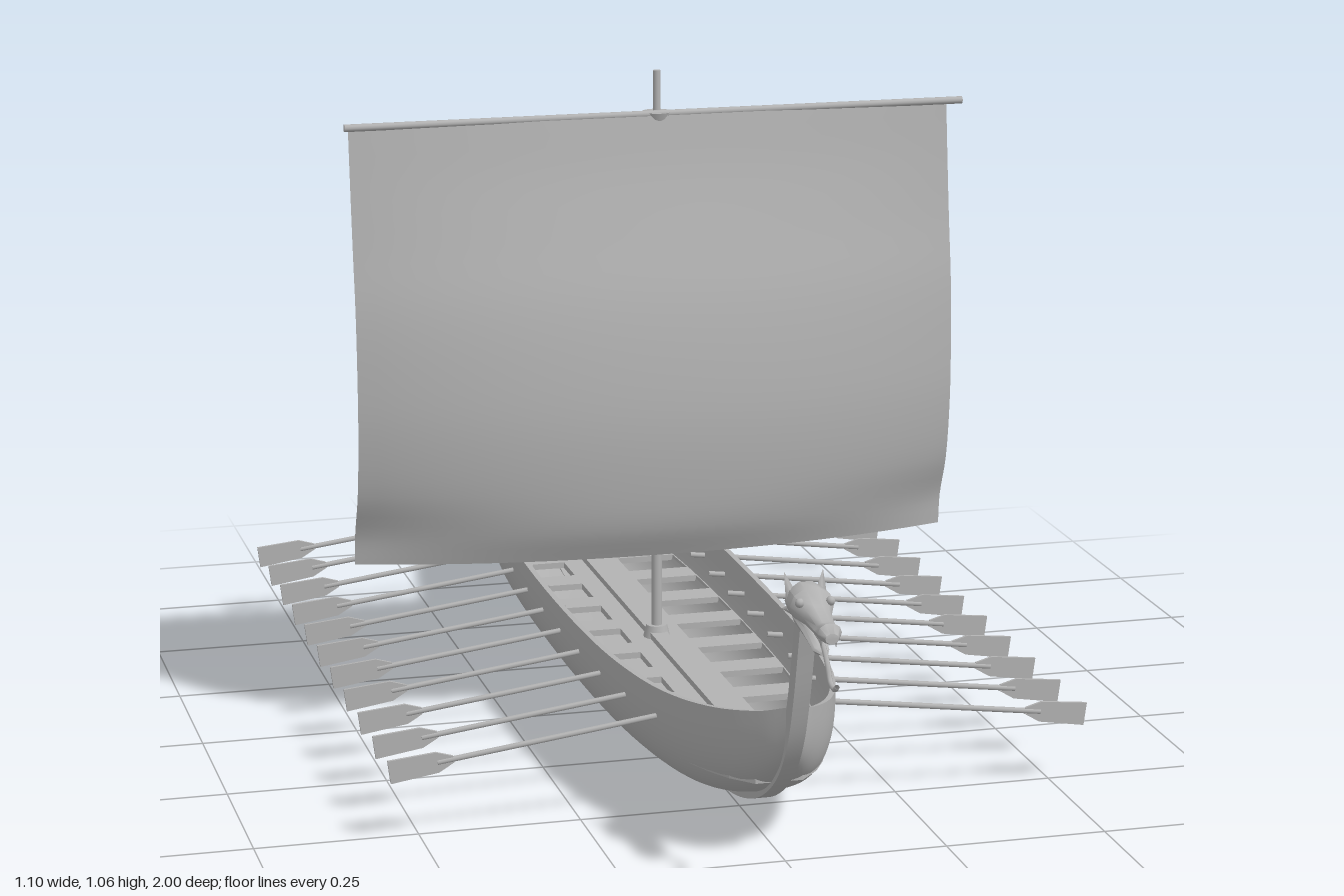
import * as THREE from 'three';
import { toCreasedNormals } from 'three/addons/utils/BufferGeometryUtils.js';

const grey = new THREE.MeshStandardMaterial({ color: 0xb2b2b2, side: THREE.DoubleSide });
grey.name = 'weathered grey';

function add(parent, name, geometry, x = 0, y = 0, z = 0) {
  const m = new THREE.Mesh(geometry, grey);
  m.name = name;
  m.position.set(x, y, z);
  parent.add(m);
  return m;
}

// Smooth surface from fn(u, v) -> [x, y, z]
function grid(nu, nv, fn) {
  const pos = [], index = [];
  for (let i = 0; i <= nu; i++) for (let j = 0; j <= nv; j++) pos.push(...fn(i / nu, j / nv));
  for (let i = 0; i < nu; i++) for (let j = 0; j < nv; j++) {
    const a = i * (nv + 1) + j, b = a + nv + 1;
    index.push(a, b, a + 1, b, b + 1, a + 1);
  }
  const g = new THREE.BufferGeometry();
  g.setAttribute('position', new THREE.Float32BufferAttribute(pos, 3));
  g.setIndex(index);
  g.computeVertexNormals();
  return g;
}

// Hull stations: z, half width, sheer height, bottom height
const stations = [
  [0.79, 0.012, 0.25, 0.19], [0.75, 0.045, 0.235, 0.14], [0.68, 0.09, 0.222, 0.088],
  [0.58, 0.127, 0.212, 0.053], [0.45, 0.153, 0.206, 0.037], [0.25, 0.171, 0.202, 0.03],
  [-0.05, 0.177, 0.2, 0.028], [-0.35, 0.172, 0.202, 0.03], [-0.55, 0.158, 0.205, 0.037],
  [-0.7, 0.134, 0.212, 0.055], [-0.82, 0.095, 0.225, 0.09], [-0.9, 0.055, 0.238, 0.135],
  [-0.955, 0.012, 0.25, 0.205],
];
const curveOf = (col) => new THREE.CatmullRomCurve3(
  stations.map((s) => new THREE.Vector3(s[col], s[col + 1] ?? 0, s[0])), false, 'catmullrom', 0.5);
const widthSheer = curveOf(1), bottomLine = curveOf(3);
const N = 2.8;

function station(t) {
  const p = widthSheer.getPoint(t);
  return { z: p.z, w: p.x, s: p.y, b: bottomLine.getPoint(t).x };
}
function stationAt(z) {
  let lo = 0, hi = 1;
  for (let i = 0; i < 30; i++) {
    const mid = (lo + hi) / 2;
    if (station(mid).z > z) lo = mid; else hi = mid;
  }
  return station(lo);
}
// Half width of the hull at a given height
function halfWidth(z, y) {
  const { w, s, b } = stationAt(z);
  const k = Math.min(1, (s - y) / (s - b));
  return Math.max(0.004, w * Math.pow(1 - Math.pow(k, N), 1 / N) - 0.004);
}
function hullSkin(inset) {
  return grid(60, 32, (u, v) => {
    const { z, w, s, b } = station(u);
    const a = (v - 0.5) * Math.PI, sn = Math.sin(a);
    const x = Math.sign(sn) * Math.pow(Math.abs(sn), 2 / N) * Math.max(0.002, w - inset);
    return [x, s - (s - b - inset) * Math.pow(Math.max(0, Math.cos(a)), 2 / N), z];
  });
}

// Deck plate following the hull sides, with optional holes
function deck(z0, z1, y, thick, holes = []) {
  const left = [], right = [];
  for (let i = 0; i <= 40; i++) {
    const z = z0 + (z1 - z0) * i / 40, w = halfWidth(z, y);
    left.push(new THREE.Vector2(w, z));
    right.unshift(new THREE.Vector2(-w, z));
  }
  const shape = new THREE.Shape([...left, ...right]);
  shape.holes = holes.map((h) => new THREE.Path(h.map((p) => new THREE.Vector2(...p))));
  return new THREE.ExtrudeGeometry(shape, { depth: thick, bevelEnabled: false })
    .rotateX(Math.PI / 2).translate(0, y, 0);
}

// Tapered loft along z with sections: z, centre y, half width, half height
function loft(sections) {
  const n = sections.length - 1;
  const rows = [[sections[0][0], sections[0][1], 0, 0], ...sections, [sections[n][0], sections[n][1], 0, 0]];
  const g = grid(rows.length - 1, 10, (u, v) => {
    const [z, y, w, h] = rows[Math.round(u * (rows.length - 1))];
    return [Math.cos(v * 2 * Math.PI) * w, y + Math.sin(v * 2 * Math.PI) * h, z];
  });
  return toCreasedNormals(g, 0.8);
}

// Flat timber following a (z, y) centreline
function timber(points, half, thick) {
  const c = new THREE.CatmullRomCurve3(points.map(([z, y]) => new THREE.Vector3(z, y, 0)));
  const a = [], b = [];
  for (let i = 0; i <= 90; i++) {
    const p = c.getPoint(i / 90), t = c.getTangent(i / 90);
    a.push(new THREE.Vector2(p.x - t.y * half, p.y + t.x * half));
    b.unshift(new THREE.Vector2(p.x + t.y * half, p.y - t.x * half));
  }
  const g = new THREE.ExtrudeGeometry(new THREE.Shape([...a, ...b]), { depth: thick, bevelEnabled: false });
  return toCreasedNormals(g.translate(0, 0, -thick / 2).rotateY(-Math.PI / 2), 0.5);
}

function makeOar() {
  const oar = new THREE.Group();
  add(oar, 'oarShaft', new THREE.CylinderGeometry(0.0045, 0.0045, 0.34, 8).rotateZ(Math.PI / 2), 0.17);
  const blade = new THREE.Shape([[0.315, -0.005], [0.34, -0.016], [0.414, -0.018], [0.414, 0.018], [0.34, 0.016], [0.315, 0.005]]
    .map((p) => new THREE.Vector2(...p)));
  add(oar, 'oarBlade', new THREE.ExtrudeGeometry(blade, { depth: 0.005, bevelEnabled: false }), 0, 0, -0.0025);
  return oar;
}

function makeHead() {
  const head = new THREE.Group();
  head.name = 'figurehead';
  add(head, 'skull', loft([[0.818, 0.425, 0.014, 0.016], [0.84, 0.428, 0.031, 0.028], [0.872, 0.428, 0.033, 0.027],
    [0.9, 0.419, 0.021, 0.018], [0.94, 0.412, 0.017, 0.012], [0.96, 0.413, 0.018, 0.015], [0.972, 0.408, 0.01, 0.008]]));
  add(head, 'lowerJaw', loft([[0.84, 0.405, 0.02, 0.018], [0.88, 0.392, 0.016, 0.011], [0.92, 0.376, 0.012, 0.006], [0.935, 0.375, 0.006, 0.004]]));
  const path = new THREE.CatmullRomCurve3([[0.88, 0.395], [0.925, 0.388], [0.95, 0.365], [0.965, 0.343], [0.985, 0.338], [0.997, 0.345]]
    .map(([z, y]) => new THREE.Vector3(0, y, z)));
  add(head, 'tongue', new THREE.TubeGeometry(path, 20, 0.004, 6));
  for (const s of [-1, 1]) {
    const ear = add(head, 'ear', new THREE.ConeGeometry(0.011, 0.042, 5), s * 0.025, 0.449, 0.836);
    ear.rotation.set(-0.35, 0, -s * 0.2);
    const cheek = add(head, 'cheekFin', new THREE.ConeGeometry(0.009, 0.03, 4), s * 0.024, 0.412, 0.828);
    cheek.rotation.set(-1.8, 0, -s * 0.3);
    add(head, 'eye', new THREE.SphereGeometry(0.007, 8, 6), s * 0.023, 0.438, 0.888);
    add(head, 'fang', new THREE.ConeGeometry(0.003, 0.014, 5).rotateX(Math.PI), s * 0.011, 0.396, 0.955);
  }
  return head;
}

// Sail profile from top to bottom: height, edge z, middle z
const sailRows = [[0.985, 0.012, 0.018], [0.9, 0.022, 0.035], [0.8, 0.035, 0.062], [0.7, 0.05, 0.09], [0.6, 0.056, 0.107],
  [0.5, 0.055, 0.115], [0.4, 0.04, 0.11], [0.33, 0.012, 0.098], [0.28, 0.006, 0.075]];
function makeSail() {
  const c = new THREE.CatmullRomCurve3(sailRows.map(([y, e, m]) => new THREE.Vector3(e, y, m)));
  return grid(32, 32, (u, v) => {
    const p = c.getPoint(u), k = 2 * v - 1;
    return [-0.01 + k * 0.489, p.y, p.x + (p.z - p.x) * (1 - Math.pow(Math.abs(k), 2.2))];
  });
}

export function createModel() {
  const ship = new THREE.Group();
  ship.name = 'longship';

  // Hull shell with gunwales
  add(ship, 'hullOuter', hullSkin(0));
  add(ship, 'hullInner', hullSkin(0.009));
  for (const s of [-1, 1]) {
    add(ship, 'gunwale', grid(60, 1, (u, v) => {
      const { z, w, s: sheer } = station(u);
      return [s * Math.max(0.002, w - 0.009 * v), sheer, z];
    }));
  }

  // Keel sweeping up into stem and stern posts
  add(ship, 'keelAndPosts', timber([[0.85, 0.42], [0.835, 0.36], [0.812, 0.27], [0.785, 0.2], [0.74, 0.14], [0.66, 0.085], [0.55, 0.045],
    [0.4, 0.022], [0.2, 0.014], [-0.1, 0.013], [-0.4, 0.02], [-0.6, 0.038], [-0.75, 0.07], [-0.86, 0.115], [-0.93, 0.175],
    [-0.967, 0.25], [-0.972, 0.31], [-0.968, 0.37]], 0.0135, 0.025));
  add(ship, 'sternScroll', new THREE.CylinderGeometry(0.026, 0.026, 0.03, 20).rotateZ(Math.PI / 2), 0, 0.372, -0.973);
  ship.add(makeHead());

  // Main deck with rowing wells on both sides
  const y = 0.12, holes = [];
  for (let i = 0; i < 10; i++) {
    const z0 = -0.585 + i * 0.133, z1 = z0 + 0.08;
    for (const s of [-1, 1]) {
      const a = halfWidth(z0, y) - 0.008, b = halfWidth(z1, y) - 0.008;
      const inner = Math.min(0.048, b - 0.015);
      holes.push([[s * inner, z0], [s * a, z0], [s * b, z1], [s * inner, z1]]);
    }
  }
  add(ship, 'mainDeck', deck(-0.67, 0.715, y, 0.01, holes));
  add(ship, 'centrePlank', new THREE.BoxGeometry(0.028, 0.012, 1.36), 0, y + 0.004, 0.03);

  // Raised stern deck with bulkhead
  add(ship, 'sternDeck', deck(-0.88, -0.655, 0.175, 0.01));
  add(ship, 'sternBulkhead', new THREE.BoxGeometry(2 * halfWidth(-0.66, 0.12), 0.06, 0.008), 0, 0.143, -0.66);

  // Eleven pairs of oars
  for (let i = 0; i < 11; i++) {
    for (const s of [-1, 1]) {
      const mount = new THREE.Group(), oar = makeOar();
      mount.name = s > 0 ? 'leftOar' : 'rightOar';
      mount.position.set(s * 0.138, 0.163, -0.655 + i * 0.118);
      mount.rotation.y = s > 0 ? 0 : Math.PI;
      oar.rotation.z = -0.131;
      mount.add(oar);
      ship.add(mount);
    }
  }

  // Mast, yard and sail
  add(ship, 'mast', new THREE.CylinderGeometry(0.006, 0.009, 0.955, 14), 0, 0.5775, 0);
  add(ship, 'mastFoot', new THREE.CylinderGeometry(0.017, 0.022, 0.02, 14), 0, 0.13, 0);
  add(ship, 'mastCollar', new THREE.CylinderGeometry(0.024, 0.02, 0.012, 16), 0, 0.983, 0);
  add(ship, 'yard', new THREE.CylinderGeometry(0.006, 0.006, 1.01, 10).rotateZ(Math.PI / 2), 0, 0.987, 0.012);
  add(ship, 'sail', makeSail());
  return ship;
}
